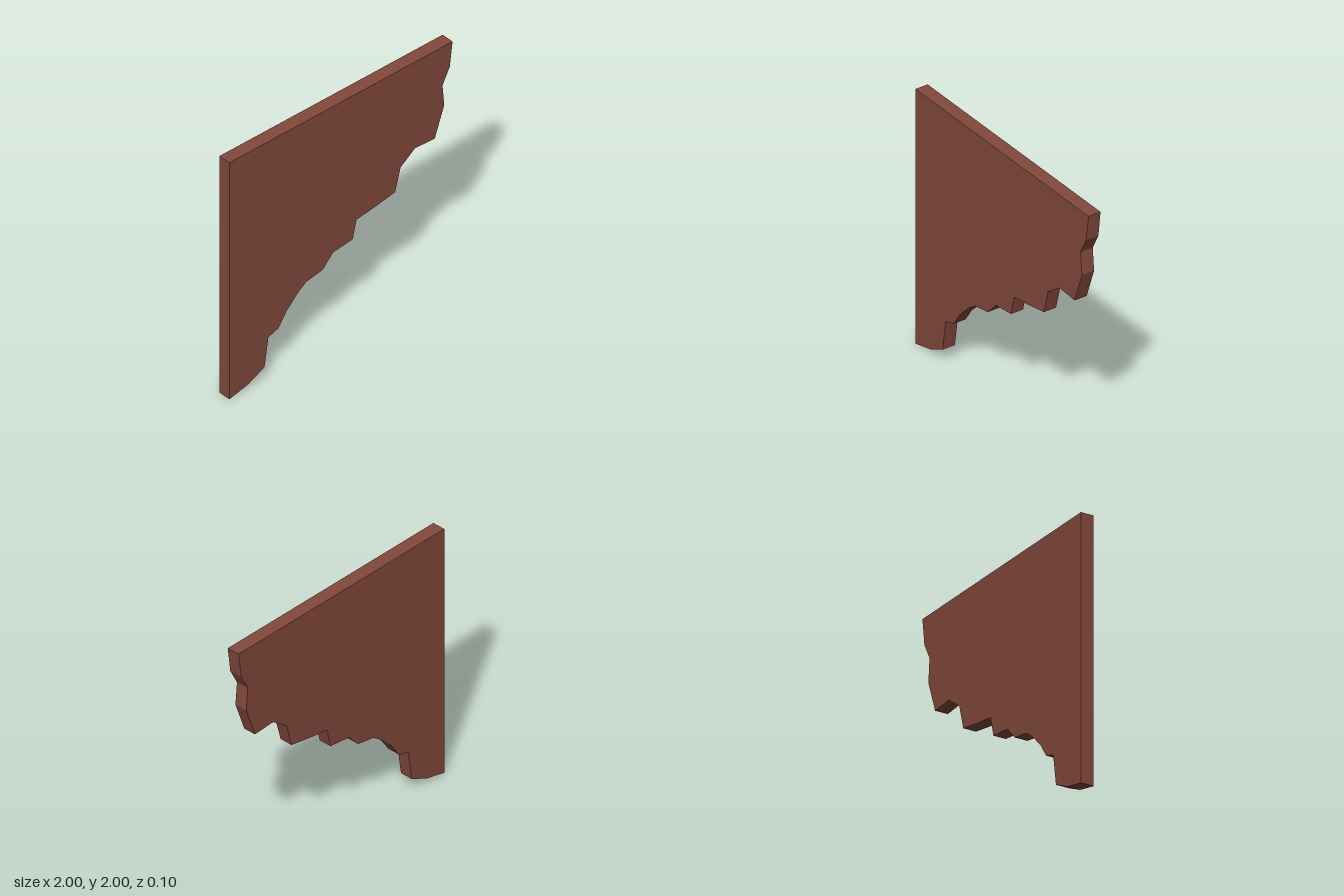
import * as THREE from 'three';

export function createModel() {
  const group = new THREE.Group();
  const rust = new THREE.MeshStandardMaterial({ color: 0x84493c });
  rust.name = 'rustBrown';

  // Ragged lower edge, from the bottom corner up to the top corner
  const raggedEdge = [
    [-1, 0], [-0.83, 0.04], [-0.685, 0.11], [-0.65, 0.345], [-0.56, 0.375],
    [-0.49, 0.48], [-0.38, 0.59], [-0.31, 0.64], [-0.165, 0.665], [-0.07, 0.765],
    [0.105, 0.785], [0.14, 0.935], [0.29, 0.955], [0.485, 0.99], [0.535, 1.175],
    [0.665, 1.27], [0.84, 1.26], [0.925, 1.5], [0.91, 1.675], [0.975, 1.8], [1, 2],
  ];
  // Straight top and left sides close the outline
  const outline = [...raggedEdge, [-1, 2]].map(([x, y]) => new THREE.Vector2(x, y));

  // Broken slab, centred on its thickness
  const thickness = 0.1;
  const geometry = new THREE.ExtrudeGeometry(new THREE.Shape(outline), {
    depth: thickness, bevelEnabled: false,
  });
  geometry.translate(0, 0, -thickness / 2);
  const slab = new THREE.Mesh(geometry, rust);
  slab.name = 'brokenWallSlab';
  group.add(slab);
  return group;
}
